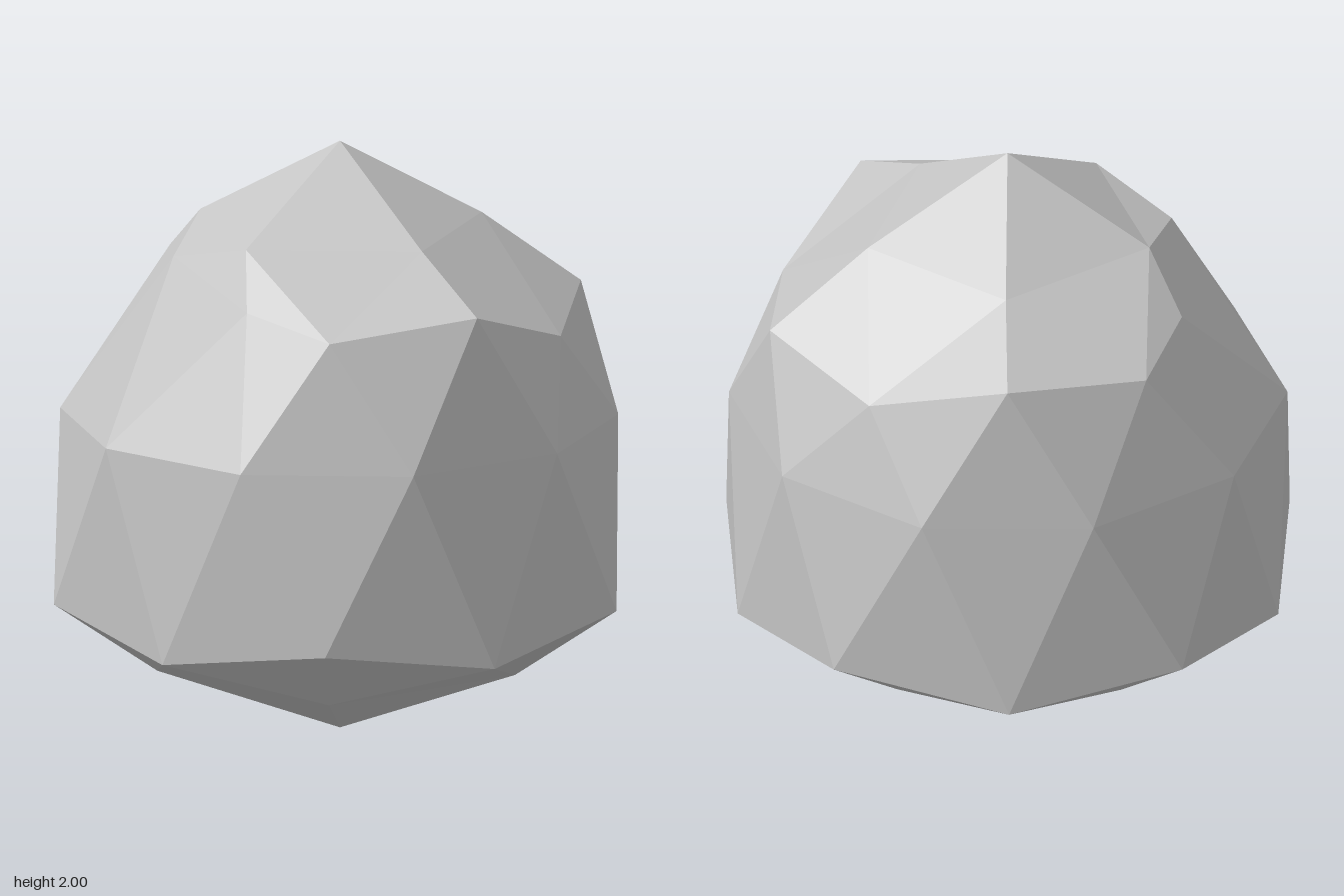
import * as THREE from 'three';

// Completes a ring of points by mirroring its front half (z > 0) to the back
function ring(half) {
  const back = half.filter(p => p[2] > 0).reverse().map(([x, y, z]) => [x, y, -z]);
  return [...half, ...back];
}

export function createModel() {
  const stone = new THREE.MeshStandardMaterial({ color: 0xc4c4c4, flatShading: true });
  stone.name = 'pale stone grey';

  // Rings of a once-divided icosahedron, worn down on its right side
  const apex = [0.02, 2, 0];
  const base = [0.02, 0, 0];
  const crown = ring([[0.505, 1.725, 0], [0.175, 1.725, 0.46], [-0.38, 1.725, 0.285]]);
  const upper = ring([[0.845, 1.47, 0], [0.275, 1.57, 0.785], [-0.43, 1.56, 0.48]]);
  const upperMid = ring([[0.65, 1.405, 0.46], [-0.22, 1.505, 0.745], [-0.55, 1.645, 0]]);
  const waist = ring([[0.895, 1.08, 0.285], [0.56, 1.08, 0.745], [0.02, 1.08, 0.92],
    [-0.525, 1.08, 0.745], [-0.86, 1.08, 0.285]]);
  const lower = ring([[0.81, 0.485, 0.575], [-0.285, 0.485, 0.93], [-0.96, 0.485, 0]]);
  const lowerMid = ring([[0.957, 0.4, 0], [0.305, 0.4, 0.895], [-0.74, 0.4, 0.555]]);
  const foot = ring([[0.52, 0.235, 0.365], [-0.18, 0.235, 0.595], [-0.605, 0.235, 0]]);

  const positions = [];
  const centre = new THREE.Vector3(0, 1, 0);
  // Adds a triangle, turned so that it faces away from the centre
  function tri(...points) {
    const [a, b, c] = points.map(p => new THREE.Vector3(...p));
    const normal = b.clone().sub(a).cross(c.clone().sub(a));
    const order = normal.dot(a.clone().sub(centre)) > 0 ? [a, b, c] : [a, c, b];
    order.forEach(p => positions.push(p.x, p.y, p.z));
  }
  // Adds a large triangle split in four: corners a, b, c and edge points ab, bc, ca
  function quarter(a, b, c, ab, bc, ca) {
    tri(a, ab, ca);
    tri(b, bc, ab);
    tri(c, ca, bc);
    tri(ab, bc, ca);
  }

  for (let k = 0; k < 5; k++) {
    const next = (k + 1) % 5, prev = (k + 4) % 5;
    const w0 = waist[(2 * k + 9) % 10], w1 = waist[2 * k], w2 = waist[2 * k + 1];
    quarter(apex, upper[k], upper[next], crown[k], upperMid[k], crown[next]);
    quarter(upper[k], upper[next], lower[k], upperMid[k], w2, w1);
    quarter(upper[k], lower[prev], lower[k], w0, lowerMid[k], w1);
    quarter(base, lower[prev], lower[k], foot[prev], lowerMid[k], foot[k]);
  }

  const geometry = new THREE.BufferGeometry();
  geometry.setAttribute('position', new THREE.Float32BufferAttribute(positions, 3));
  geometry.computeVertexNormals();

  const boulder = new THREE.Mesh(geometry, stone);
  boulder.name = 'boulder';
  const group = new THREE.Group();
  group.name = 'rock';
  group.add(boulder);
  return group;
}
